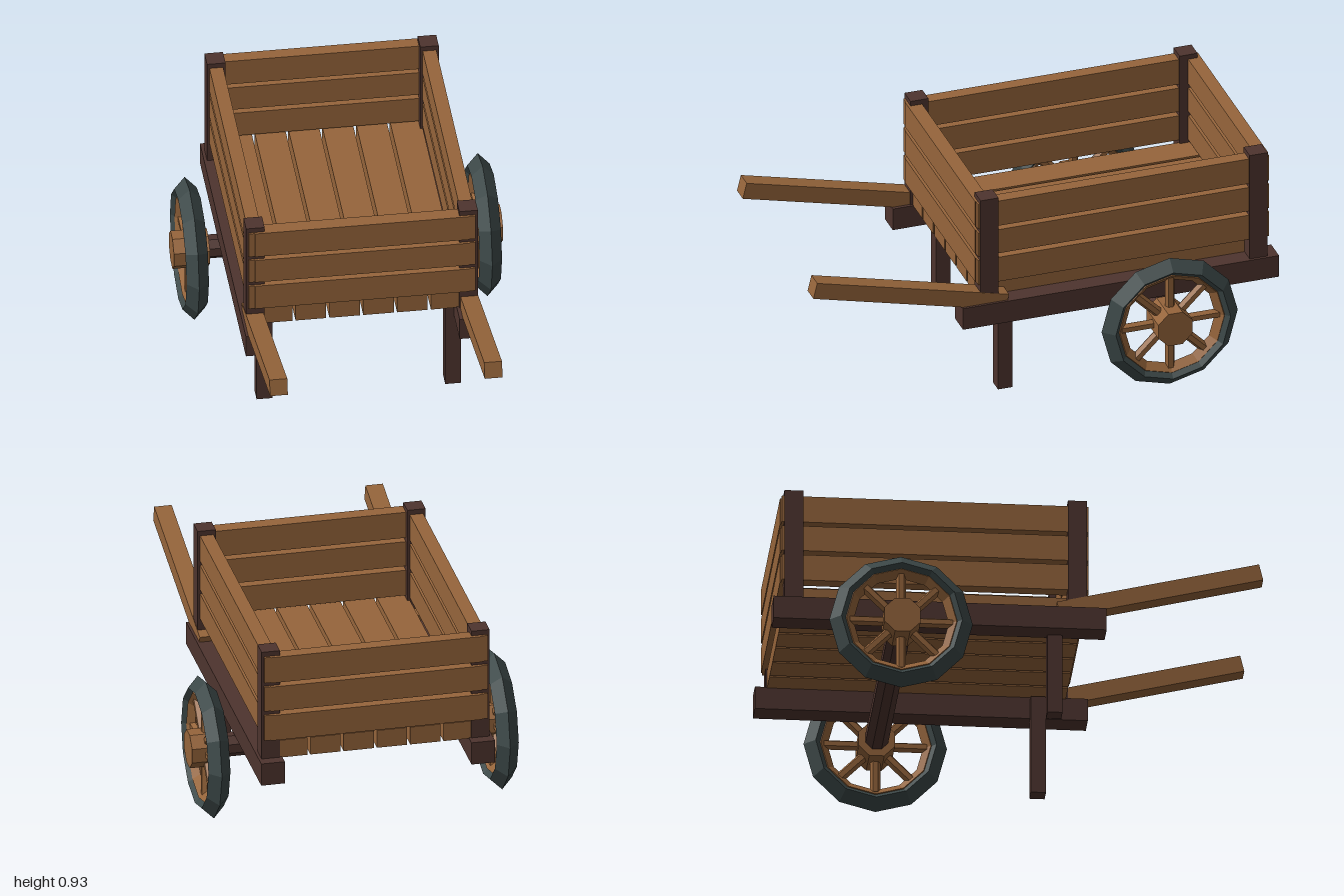
import * as THREE from 'three';

export function createModel() {
  const mat = (name, color) => {
    const m = new THREE.MeshStandardMaterial({ color, flatShading: true });
    m.name = name;
    return m;
  };
  const wood = mat('wood', 0x96653b);
  const darkWood = mat('darkWood', 0x4e342e);
  const iron = mat('tyreGrey', 0x3c4848);

  const cart = new THREE.Group();
  cart.name = 'handCart';

  const add = (parent, name, geometry, material) => {
    const mesh = new THREE.Mesh(geometry, material);
    mesh.name = name;
    parent.add(mesh);
    return mesh;
  };
  // Box given by its minimum and maximum on each axis
  const block = (name, material, [x0, x1], [y0, y1], [z0, z1]) => {
    const mesh = add(cart, name, new THREE.BoxGeometry(x1 - x0, y1 - y0, z1 - z0), material);
    mesh.position.set((x0 + x1) / 2, (y0 + y1) / 2, (z0 + z1) / 2);
    return mesh;
  };
  const mirrored = (s, a, b) => (s > 0 ? [a, b] : [-b, -a]);

  // Floor planks with narrow gaps
  for (let i = 0; i < 6; i++) {
    const x = (i - 2.5) * 0.139;
    block('floorPlank', wood, [x - 0.063, x + 0.063], [0.44, 0.518], [-0.95, 0.27]);
  }

  // Three rows of boards around the box
  const rows = [[0.53, 0.643], [0.662, 0.772], [0.79, 0.905]];
  for (const row of rows) {
    block('frontBoard', wood, [-0.44, 0.44], row, [0.23, 0.291]);
    block('backBoard', wood, [-0.44, 0.44], row, [-0.97, -0.915]);
    for (const s of [-1, 1]) {
      block('sideBoard', wood, mirrored(s, 0.41, 0.466), row, [-0.965, 0.288]);
    }
  }

  // Wheel turning about the x axis
  const makeWheel = () => {
    const wheel = new THREE.Group();
    wheel.name = 'wheel';
    add(wheel, 'tyre', new THREE.TorusGeometry(0.247, 0.046, 4, 12), iron).rotation.y = Math.PI / 2;
    add(wheel, 'rim', new THREE.TorusGeometry(0.225, 0.03, 4, 12), wood).rotation.y = Math.PI / 2;
    const hub = new THREE.CylinderGeometry(0.08, 0.08, 0.148, 8, 1, false, Math.PI / 8);
    add(wheel, 'hub', hub, wood).rotation.z = Math.PI / 2;
    for (let i = 0; i < 8; i++) {
      const a = (i * Math.PI) / 4;
      const spoke = add(wheel, 'spoke', new THREE.CylinderGeometry(0.021, 0.021, 0.16, 6), wood);
      spoke.position.set(0, Math.cos(a) * 0.13, Math.sin(a) * 0.13);
      spoke.rotation.x = a;
    }
    return wheel;
  };

  for (const s of [-1, 1]) {
    // Frame rail, corner posts and front leg
    block('rail', darkWood, mirrored(s, 0.39, 0.488), [0.346, 0.444], [-1, 0.36]);
    block('frontPost', darkWood, mirrored(s, 0.4, 0.476), [0.43, 0.926], [0.203, 0.28]);
    block('backPost', darkWood, mirrored(s, 0.4, 0.476), [0.43, 0.926], [-0.955, -0.878]);
    block('leg', darkWood, mirrored(s, 0.355, 0.42), [0, 0.43], [0.124, 0.186]);

    // Sloping handle
    const handle = add(cart, 'handle', new THREE.BoxGeometry(0.073, 0.071, 0.85), wood);
    handle.position.set(s * 0.441, 0.535, 0.579);
    handle.rotation.x = -0.239;

    const wheel = makeWheel();
    wheel.position.set(s * 0.602, 0.293, -0.49);
    cart.add(wheel);
  }

  // Axle between the hubs
  const axle = add(cart, 'axle',
    new THREE.CylinderGeometry(0.05, 0.05, 1.1, 8, 1, false, Math.PI / 8), darkWood);
  axle.rotation.z = Math.PI / 2;
  axle.position.set(0, 0.295, -0.49);

  return cart;
}
